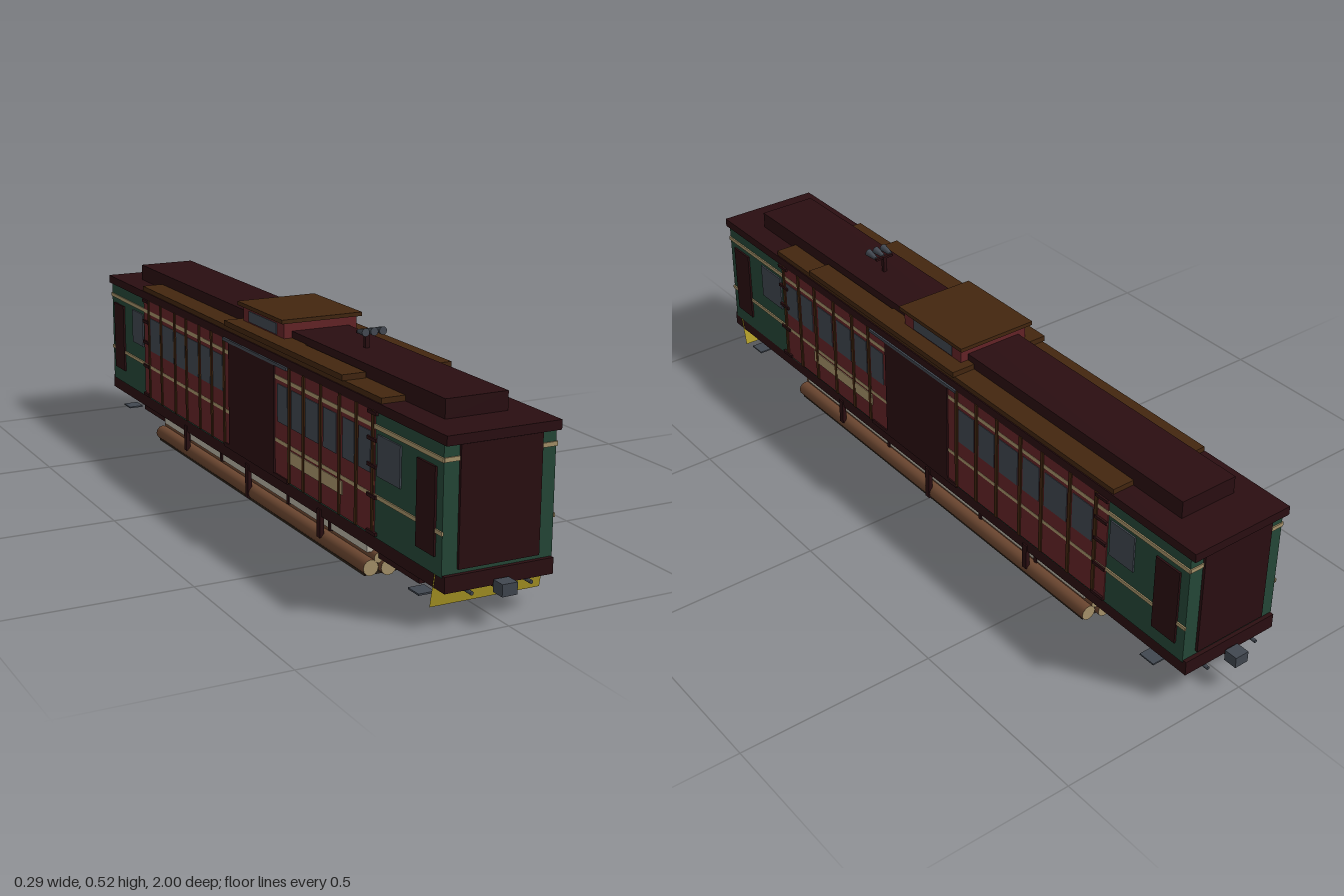
import * as THREE from 'three';

const mat = (name, color) => {
  const m = new THREE.MeshStandardMaterial({ color });
  m.name = name;
  return m;
};

export function createModel() {
  const maroon = mat('dark maroon', 0x2a0e11), brown = mat('trim brown', 0x43260f);
  const red = mat('panel red', 0x662427), green = mat('wall green', 0x254838);
  const cream = mat('cream', 0xa8946b), glass = mat('slate grey', 0x414750);
  const yellow = mat('plow yellow', 0xb5a028), bark = mat('bark', 0x6b4630);
  const pale = mat('pale grey', 0xb8b2a4), under = mat('underside', 0x2c2219);
  yellow.side = THREE.DoubleSide;

  const model = new THREE.Group();
  model.name = 'railCar';
  const add = (name, geo, m, x = 0, y = 0, z = 0) => {
    const mesh = new THREE.Mesh(geo, m);
    mesh.name = name;
    mesh.position.set(x, y, z);
    model.add(mesh);
    return mesh;
  };
  // Box given by its extents
  const box = (name, m, x0, x1, y0, y1, z0, z1) =>
    add(name, new THREE.BoxGeometry(x1 - x0, y1 - y0, z1 - z0), m, (x0 + x1) / 2, (y0 + y1) / 2, (z0 + z1) / 2);
  // The same box on both sides of the car
  const pair = (name, m, x0, x1, ...yz) => {
    box(name, m, x0, x1, ...yz);
    box(name, m, -x1, -x0, ...yz);
  };

  // Body, frame and roof
  box('body', green, -0.137, 0.137, 0.115, 0.405, -0.95, 0.95);
  box('underframe', maroon, -0.135, 0.135, 0.083, 0.12, -0.96, 0.96);
  box('lowerFrame', maroon, -0.1, 0.1, 0.045, 0.085, -0.8, 0.8);
  box('roof', maroon, -0.14, 0.14, 0.403, 0.425, -0.965, 0.965);
  box('raisedRoof', maroon, -0.078, 0.078, 0.425, 0.469, -0.855, 0.855);
  pair('roofWalk', brown, 0.078, 0.137, 0.425, 0.438, -0.7, 0.69);
  pair('awning', brown, 0.082, 0.143, 0.438, 0.452, 0.22, 0.52);
  pair('cupolaStep', brown, 0.078, 0.143, 0.438, 0.452, -0.12, 0.22);

  // Cupola
  box('cupola', red, -0.1, 0.1, 0.438, 0.491, -0.095, 0.14);
  box('cupolaRoof', brown, -0.11, 0.11, 0.491, 0.501, -0.11, 0.15);
  pair('cupolaWindow', glass, 0.1, 0.102, 0.455, 0.483, -0.06, 0.1);

  // Side panels, stripes and sliding door
  pair('redPanel', red, 0.136, 0.1395, 0.12, 0.403, -0.69, 0.667);
  for (const [y0, y1] of [[0.365, 0.375], [0.207, 0.216]])
    pair('sideStripe', cream, 0.136, 0.1403, y0, y1, -0.952, 0.952);
  pair('slidingDoor', maroon, 0.137, 0.144, 0.125, 0.4, -0.095, 0.17);
  pair('doorRail', glass, 0.138, 0.145, 0.398, 0.406, -0.13, 0.24);
  pair('doorSill', maroon, 0.135, 0.143, 0.115, 0.126, -0.13, 0.24);
  pair('signBoard', cream, 0.137, 0.1415, 0.17, 0.202, 0.24, 0.52);

  // Windows
  const windows = [[0.68, 0.78], [0.595, 0.65], [0.52, 0.575], [0.425, 0.49], [0.335, 0.4], [0.26, 0.315], [0.185, 0.24],
    [-0.2, -0.14], [-0.28, -0.22], [-0.37, -0.3], [-0.45, -0.39], [-0.55, -0.47], [-0.64, -0.57], [-0.78, -0.7]];
  for (const [z0, z1] of windows) pair('sideWindow', glass, 0.137, 0.141, 0.26, 0.355, z0, z1);

  // Vertical ribs with bolted end brackets
  for (const z of [0.66, 0.585, 0.505, 0.412, 0.325, 0.25, -0.13, -0.21, -0.29, -0.38, -0.46, -0.56, -0.65]) {
    pair('rib', brown, 0.137, 0.1425, 0.12, 0.405, z - 0.005, z + 0.005);
  }
  for (const z of [0.66, -0.67])
    for (const y of [0.125, 0.21, 0.28, 0.34, 0.4]) pair('bracket', maroon, 0.138, 0.145, y - 0.004, y + 0.004, z - 0.02, z + 0.02);

  // Ends: doors, stripes, couplers, buffers, steps
  for (const s of [1, -1]) {
    const span = (a, b) => (s > 0 ? [a, b] : [-b, -a]);
    box('endDoor', maroon, -0.1, 0.1, 0.13, 0.4, ...span(0.95, 0.957));
    pair('endStripe', cream, 0.1, 0.137, 0.365, 0.375, ...span(0.949, 0.953));
    pair('sideDoor', maroon, 0.137, 0.142, 0.155, 0.35, ...span(0.85, 0.925));
    box('couplerBar', maroon, -0.01, 0.01, 0.075, 0.093, ...span(0.94, 0.975));
    box('coupler', glass, -0.019, 0.019, 0.07, 0.098, ...span(0.965, 1));
    pair('step', glass, 0.1, 0.14, 0.047, 0.051, ...span(0.82, 0.865));
    pair('brakeBox', glass, 0.04, 0.07, 0.07, 0.09, ...span(0.83, 0.86));
    for (const x of [-0.074, 0.074]) {
      add('buffer', new THREE.CylinderGeometry(0.0045, 0.0045, 0.05, 10), glass, x, 0.078, s * 0.945).rotation.x = Math.PI / 2;
    }
  }

  // Front plow: thin sloping sheet
  const plow = add('plow', new THREE.PlaneGeometry(0.276, 0.082), yellow, 0, 0.076, 0.915);
  plow.rotation.x = 0.2;

  // Log load slung under the floor
  const log = (x, y, r, half) => {
    const mesh = add('log', new THREE.CylinderGeometry(r, r, half * 2, 12), [bark, cream, cream], x, y, 0);
    mesh.rotation.x = Math.PI / 2;
  };
  for (let i = -3; i <= 3; i++) log(i * 0.0393, 0.023, 0.0195, 0.63 - (i & 1) * 0.012);
  for (const x of [-0.098, -0.059, 0.059, 0.098]) log(x, 0.045, 0.0125, 0.62);
  box('logTray', under, -0.13, 0.13, 0.003, 0.009, -0.61, 0.61);
  pair('paleBeam', pale, 0.1, 0.118, 0.054, 0.075, -0.6, 0.6);
  for (const z of [-0.42, -0.2, 0.2, 0.42]) pair('beamStrap', maroon, 0.1, 0.121, 0.05, 0.085, z - 0.005, z + 0.005);
  for (const z of [-0.4, 0, 0.4]) pair('hanger', maroon, 0.128, 0.139, z ? 0.03 : 0.01, 0.1, z - 0.008, z + 0.008);

  // Roof lamps on a bent post
  box('lampPost', maroon, -0.005, 0.005, 0.465, 0.512, 0.368, 0.378);
  box('lampCrossbar', maroon, -0.026, 0.026, 0.506, 0.512, 0.37, 0.378);
  for (const x of [-0.023, 0, 0.023]) {
    const lamp = add('lamp', new THREE.CylinderGeometry(0.01, 0.005, 0.035, 12), glass, x, 0.513, 0.394);
    lamp.rotation.x = Math.PI / 2 - 0.1;
  }
  return model;
}
